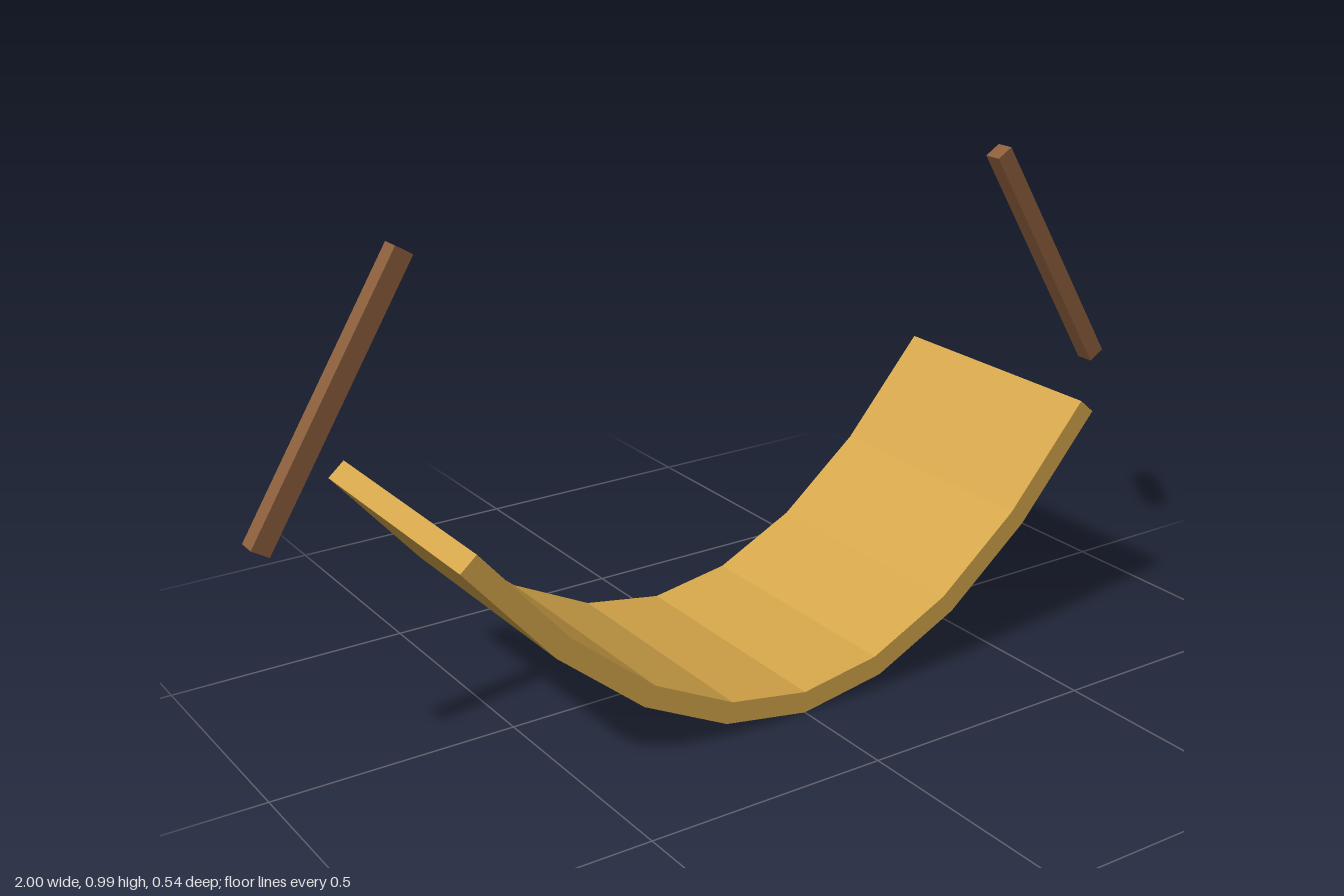
import * as THREE from 'three';

const WIDTH = 0.54, HALF_THICK = 0.022, SPAN = 0.7135, SEGMENTS = 8;

// Closed outline of the curved sling: a faceted parabola with mitred thickness
function slingShape() {
  const centre = [];
  for (let i = 0; i <= SEGMENTS; i++) {
    const t = (2 * i) / SEGMENTS - 1;
    centre.push(new THREE.Vector2(t * SPAN, 0.022 + 0.472 * t * t));
  }
  const normals = centre.slice(1).map((p, i) => {
    const d = p.clone().sub(centre[i]).normalize();
    return new THREE.Vector2(-d.y, d.x);
  });
  const inner = [], outer = [];
  centre.forEach((p, i) => {
    const a = normals[Math.max(i - 1, 0)], b = normals[Math.min(i, SEGMENTS - 1)];
    const n = a.clone().add(b).normalize();
    const h = HALF_THICK / n.dot(a);
    inner.push(p.clone().addScaledVector(n, h));
    outer.push(p.clone().addScaledVector(n, -h));
  });
  return new THREE.Shape([...outer, ...inner.reverse()]);
}

export function createModel() {
  const group = new THREE.Group();
  const fabric = new THREE.MeshStandardMaterial({ color: 0xd4a54a });
  fabric.name = 'golden fabric';
  const wood = new THREE.MeshStandardMaterial({ color: 0x8b5e3c });
  wood.name = 'brown wood';

  // Curved sling
  const slingGeo = new THREE.ExtrudeGeometry(slingShape(), { depth: WIDTH, bevelEnabled: false });
  slingGeo.translate(0, 0, -WIDTH / 2);
  const sling = new THREE.Mesh(slingGeo, fabric);
  sling.name = 'sling';
  group.add(sling);

  // Inward-leaning square bars, one at each end
  const barGeo = new THREE.BoxGeometry(0.039, 0.578, 0.039);
  for (const side of [-1, 1]) {
    const bar = new THREE.Mesh(barGeo, wood);
    bar.name = side > 0 ? 'leftBar' : 'rightBar';
    bar.position.set(side * 0.8325, 0.735, 0);
    bar.rotation.z = side * THREE.MathUtils.degToRad(31.4);
    group.add(bar);
  }
  return group;
}
